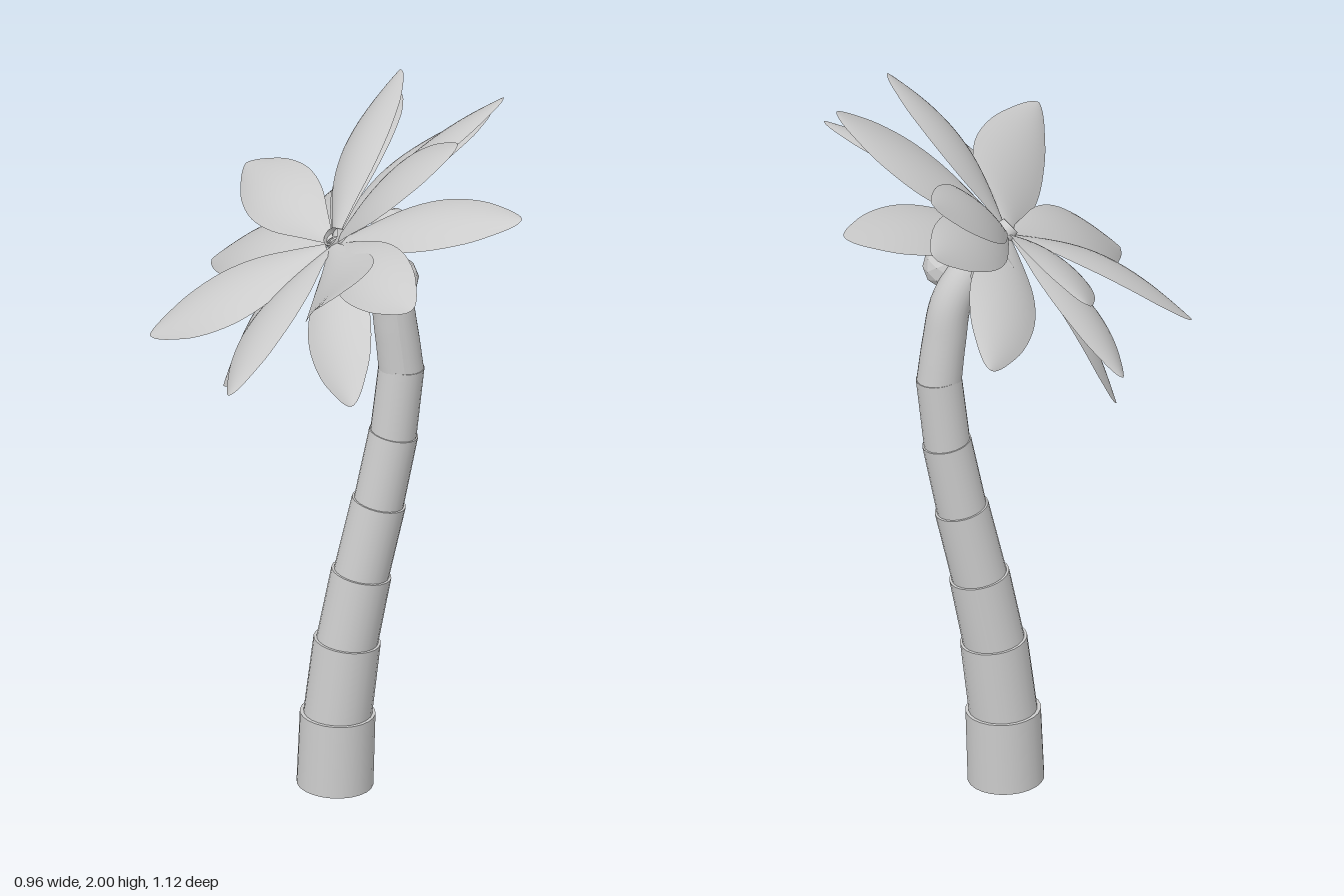
import * as THREE from 'three';

const V = (x, y, z) => new THREE.Vector3(x, y, z);
const grey = (extra = {}) => new THREE.MeshStandardMaterial({ color: 0xcccccc, ...extra });

const HUB = V(0, 1.61, 0);
const CROWN_UP = V(-0.58, 0.81, 0).normalize(); // the crown leans toward -x

// Straight trunk section between two points, slightly tapered
function trunkSection(a, b, r) {
  const axis = b.clone().sub(a);
  const geo = new THREE.CylinderGeometry(r * 0.985, r, axis.length() + 0.015, 24);
  const mesh = new THREE.Mesh(geo, grey());
  mesh.position.copy(a).add(b).multiplyScalar(0.5);
  mesh.quaternion.setFromUnitVectors(V(0, 1, 0), axis.normalize());
  mesh.name = 'trunkSection';
  return mesh;
}

// Bent, tapering neck that carries the crown
function trunkNeck() {
  const path = new THREE.CatmullRomCurve3([
    V(0.192, 1.2, -0.042), V(0.178, 1.32, -0.041), V(0.157, 1.44, -0.04),
    V(0.09, 1.55, -0.028), V(-0.005, 1.63, 0),
  ]);
  const rows = 24, sides = 24;
  const geo = new THREE.TubeGeometry(path, rows, 1, sides);
  const pos = geo.attributes.position, p = V(0, 0, 0);
  for (let i = 0; i <= rows; i++) {
    const t = i / rows, c = path.getPointAt(t);
    const r = 0.06 - 0.008 * t - 0.026 * t ** 4;
    for (let j = 0; j <= sides; j++) {
      const k = i * (sides + 1) + j;
      p.fromBufferAttribute(pos, k).sub(c).multiplyScalar(r).add(c);
      pos.setXYZ(k, p.x, p.y, p.z);
    }
  }
  geo.computeVertexNormals();
  const mesh = new THREE.Mesh(geo, grey({ side: THREE.DoubleSide }));
  mesh.name = 'trunkNeck';
  return mesh;
}

// Relative leaf width along its length
const leafProfile = new THREE.SplineCurve([
  [0, 0.12], [0.15, 0.46], [0.35, 0.87], [0.55, 1], [0.75, 0.82], [0.9, 0.46], [0.975, 0.2], [1, 0.03],
].map(([t, w]) => new THREE.Vector2(t, w)));

// Broad leaf from the hub to its tip: arch lifts its middle, bend swings it sideways, roll twists it
function leaf(tip, halfWidth, { arch = 0.04, bend = 0, roll = 0 }) {
  const base = HUB.clone().addScaledVector(tip.clone().sub(HUB).normalize(), 0.02);
  const dir = tip.clone().sub(base);
  const axis = dir.clone().normalize();
  const side = V(0, 0, 0).crossVectors(CROWN_UP, axis).normalize().applyAxisAngle(axis, roll);
  const up = V(0, 0, 0).crossVectors(axis, side);
  const rows = 28, cols = 10;
  const geo = new THREE.PlaneGeometry(1, 1, cols, rows);
  const pos = geo.attributes.position;
  for (let i = 0; i <= rows; i++) {
    const { x: t, y: w } = leafProfile.getPoint(i / rows);
    const swell = Math.sin(Math.PI * t);
    for (let j = 0; j <= cols; j++) {
      const s = 1 - (j / cols) * 2;
      const p = base.clone().addScaledVector(dir, t)
        .addScaledVector(side, s * w * halfWidth + bend * swell)
        .addScaledVector(up, arch * swell - 0.022 * w * s * s);
      pos.setXYZ(i * (cols + 1) + j, p.x, p.y, p.z);
    }
  }
  geo.computeVertexNormals();
  const mesh = new THREE.Mesh(geo, grey({ side: THREE.DoubleSide }));
  mesh.name = 'leaf';
  return mesh;
}

export function createModel() {
  const model = new THREE.Group();
  model.name = 'palmTree';

  // Trunk: stepped sections, each thinner than the one below
  const trunk = new THREE.Group();
  trunk.name = 'trunk';
  const joints = [
    [0.013, 0.0075, 0.102], [0.02, 0.2, 0.091], [0.045, 0.41, 0.082], [0.083, 0.605, 0.074],
    [0.13, 0.81, 0.067], [0.17, 1.01, 0.062], [0.192, 1.205],
  ];
  for (let i = 0; i < joints.length - 1; i++) {
    const [x0, y0, r] = joints[i], [x1, y1] = joints[i + 1];
    trunk.add(trunkSection(V(x0, y0, -0.036 - i * 0.001), V(x1, y1, -0.037 - i * 0.001), r));
  }
  trunk.add(trunkNeck());
  model.add(trunk);

  // Crown: leaf tip x, y, z, half width and shape
  const crown = new THREE.Group();
  crown.name = 'crown';
  const leaves = [
    [0.46, 2.0, 0, 0.105, { arch: 0.03, bend: 0.017, roll: -0.2 }],
    [0.295, 1.985, 0.23, 0.105, {}],
    [0.45, 1.8, 0.33, 0.1, {}],
    [0.12, 1.66, 0.53, 0.1, {}],
    [-0.15, 1.695, 0.56, 0.115, { arch: -0.03, bend: 0.02, roll: 0.1 }],
    [-0.03, 1.36, 0.47, 0.1, {}],
    [-0.34, 1.36, 0.35, 0.11, { roll: 0.12 }],
    [-0.48, 1.35, -0.06, 0.112, { bend: 0.033, roll: -0.15 }],
    [-0.27, 1.15, -0.13, 0.1, { roll: -0.1 }],
    [-0.25, 1.38, -0.42, 0.1, {}],
    [-0.15, 1.63, -0.47, 0.102, {}],
    [0.12, 1.5, -0.56, 0.105, {}],
    [0.26, 1.8, -0.47, 0.1, { roll: -0.15 }],
    [0.25, 1.91, -0.39, 0.1, { roll: -0.15 }],
    [0.48, 1.8, -0.33, 0.105, {}],
  ];
  for (const [x, y, z, w, shape] of leaves) crown.add(leaf(V(x, y, z), w, shape));
  model.add(crown);

  // Faceted coconuts under the crown
  const coconuts = new THREE.Group();
  coconuts.name = 'coconuts';
  for (const [x, y, z] of [
    [0.165, 1.622, -0.022], [0.165, 1.507, 0.03], [0.065, 1.52, 0.075], [0.06, 1.565, -0.15],
  ]) {
    const nut = new THREE.Mesh(new THREE.IcosahedronGeometry(0.062, 1), grey({ flatShading: true }));
    nut.position.set(x, y, z);
    nut.name = 'coconut';
    coconuts.add(nut);
  }
  model.add(coconuts);
  return model;
}
